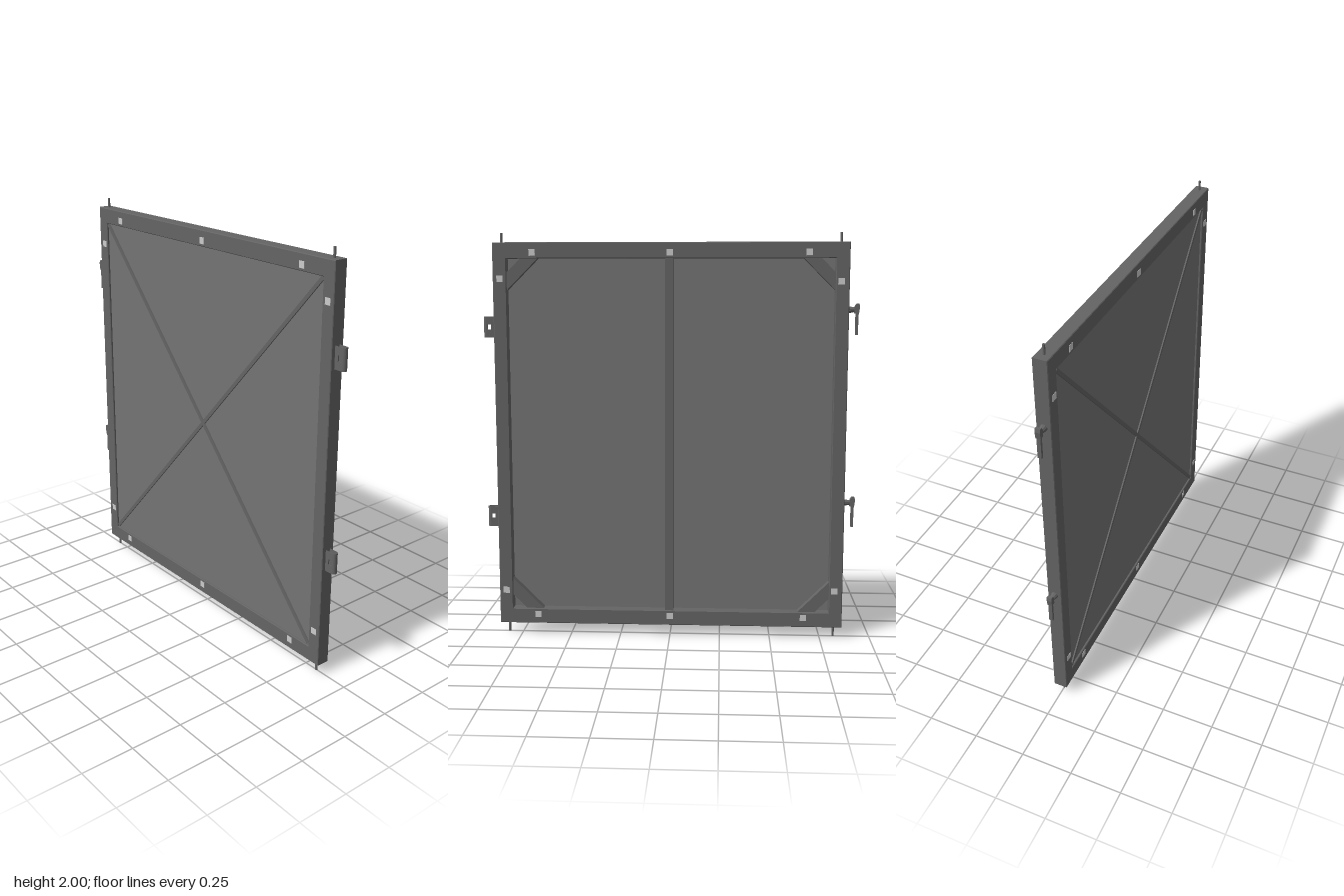
import * as THREE from 'three';

const frameMat = new THREE.MeshStandardMaterial({ color: 0x646464, flatShading: true });
const panelMat = new THREE.MeshStandardMaterial({ color: 0x747474, flatShading: true });
const boltMat = new THREE.MeshStandardMaterial({ color: 0xcccccc, flatShading: true });

const MID = 1.004; // height of the panel's centre

function add(parent, name, geometry, material, x = 0, y = 0, z = 0) {
  const mesh = new THREE.Mesh(geometry, material);
  mesh.name = name;
  mesh.position.set(x, y, z);
  parent.add(mesh);
  return mesh;
}

const box = (x, y, z) => new THREE.BoxGeometry(x, y, z);

// Outline drawn in (z, y), extruded from x0 to x1
function slab(shape, x0, x1, bevel = 0) {
  const geometry = new THREE.ExtrudeGeometry(shape, {
    depth: x1 - x0 - 2 * bevel, bevelEnabled: bevel > 0, bevelSize: bevel,
    bevelThickness: bevel, bevelOffset: -bevel, bevelSegments: 1, curveSegments: 8,
  });
  geometry.rotateY(-Math.PI / 2);
  geometry.translate(x1 - bevel, 0, 0);
  return geometry;
}

const polygon = (points) => points.map(([z, y]) => new THREE.Vector2(z, y));

function rectangle(halfZ, y0, y1) {
  return polygon([[-halfZ, y0], [halfZ, y0], [halfZ, y1], [-halfZ, y1]]);
}

// Bent strap with a window through both cheeks
function createStrap(y) {
  const strap = new THREE.Group();
  strap.name = 'hingeStrap';
  const wall = 0.003, r = 0.014, start = 0.855, bend = 0.901;
  for (const side of [-1, 1]) {
    const cheek = new THREE.Shape(polygon([[start, -0.051], [bend, -0.051], [bend, 0.051], [start, 0.051]]));
    cheek.holes.push(new THREE.Path(polygon([[0.878, -0.012], [0.9, -0.012], [0.9, 0.014], [0.878, 0.014]])));
    const x = side * (r - wall / 2);
    add(strap, 'strapCheek', slab(cheek, x - wall / 2, x + wall / 2), frameMat);
  }
  const arc = new THREE.Shape();
  arc.absarc(0, 0, r, 0, Math.PI, false);
  arc.absarc(0, 0, r - wall, Math.PI, 0, true);
  const bendGeo = new THREE.ExtrudeGeometry(arc, { depth: 0.102, bevelEnabled: false, curveSegments: 8 });
  bendGeo.rotateX(Math.PI / 2);
  add(strap, 'strapBend', bendGeo, frameMat, 0, 0.051, bend);
  strap.position.y = y;
  return strap;
}

// Turning latch with a hanging handle
function createLatch(y) {
  const latch = new THREE.Group();
  latch.name = 'latch';
  const neck = new THREE.CylinderGeometry(0.01, 0.018, 0.04, 10);
  neck.rotateX(-Math.PI / 2);
  add(latch, 'latchNeck', neck, frameMat, 0, 0, -0.875);
  const head = new THREE.Shape(polygon([
    [-0.888, -0.018], [-0.909, -0.022], [-0.914, 0.012], [-0.911, 0.029], [-0.899, 0.029], [-0.889, 0.016],
  ].reverse()));
  add(latch, 'latchHead', slab(head, -0.012, 0.012), frameMat);
  add(latch, 'latchHandle', box(0.018, 0.11, 0.013), frameMat, 0, -0.066, -0.901);
  latch.position.y = y;
  return latch;
}

export function createModel() {
  const model = new THREE.Group();
  model.name = 'framedPanel';

  // Outer frame and the sheet set towards its rear side
  const outline = new THREE.Shape(rectangle(0.86, 0.054, 1.954));
  outline.holes.push(new THREE.Path(rectangle(0.794, 0.129, 1.877)));
  add(model, 'frame', slab(outline, -0.034, 0.034, 0.003), frameMat);
  add(model, 'panel', box(0.008, 1.76, 1.6), panelMat, -0.02, MID, 0);

  // Upright brace on one face
  add(model, 'centreBrace', box(0.044, 1.756, 0.042), frameMat, 0.006, MID, 0.003);

  // Crossed strips on the other face
  const diagonal = Math.hypot(1.748, 1.588) - 0.02;
  for (const side of [-1, 1]) {
    const strip = add(model, 'crossStrip', box(0.008, diagonal, 0.018), frameMat, -0.027, MID, 0);
    strip.rotation.x = side * Math.atan2(1.588, 1.748);
  }

  // Diagonal corner braces and locating pins
  for (const sz of [-1, 1]) {
    for (const sy of [-1, 1]) {
      const z = 0.798 * sz, y = MID + 0.877 * sy;
      const brace = new THREE.Shape(polygon([
        [z - sz * 0.16, y], [z - sz * 0.075, y], [z, y - sy * 0.075], [z, y - sy * 0.16],
      ]));
      add(model, 'cornerBrace', slab(brace, -0.018, 0.022), frameMat);
      add(model, 'pin', new THREE.CylinderGeometry(0.006, 0.006, 0.06, 8), frameMat,
        0, sy > 0 ? 1.97 : 0.03, sz * 0.82);
    }
  }

  // Square bolts showing on both faces
  const bolts = [[0.826, 1.78], [0.826, 0.225], [-0.82, 1.767], [-0.82, 0.241]];
  for (const z of [-0.667, 0, 0.667]) bolts.push([z, 1.905], [z, 0.101]);
  for (const [z, y] of bolts) {
    add(model, 'bolt', box(0.071, 0.031, 0.031), boltMat, 0, y, z);
  }

  // Hinge straps on one edge, latches on the other
  for (const y of [0.6, 1.546]) model.add(createStrap(y));
  for (const y of [0.686, 1.632]) model.add(createLatch(y));

  return model;
}
